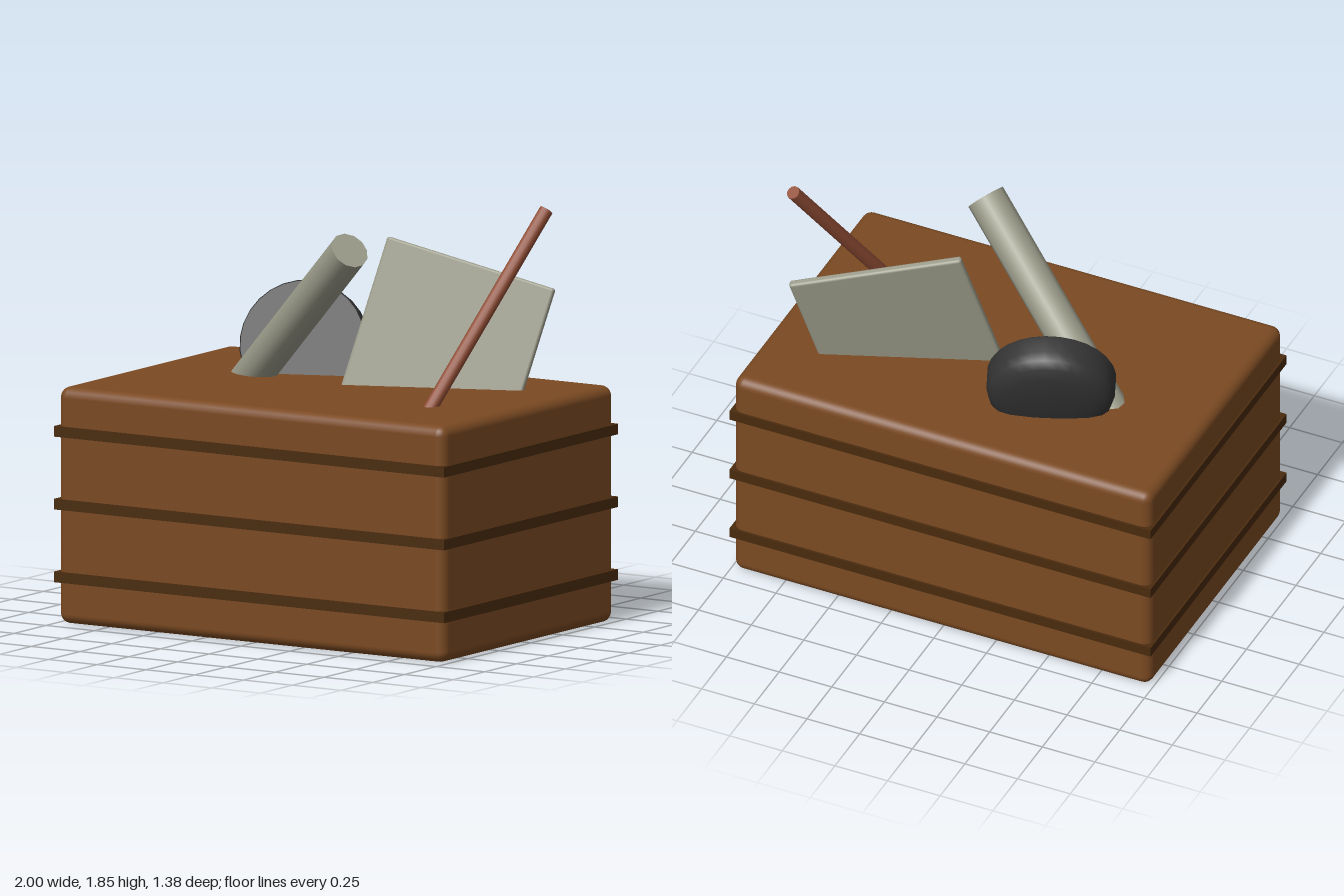
import * as THREE from 'three';
import { RoundedBoxGeometry } from 'three/addons/geometries/RoundedBoxGeometry.js';

const V = (x, y, z) => new THREE.Vector3(x, y, z);
const UP = V(0, 1, 0);

function material(name, color) {
  const m = new THREE.MeshStandardMaterial({ color });
  m.name = name;
  return m;
}

export function createModel() {
  const group = new THREE.Group();
  const wood = material('brown wood', 0x7b4a22);
  const bandWood = material('dark wood', 0x4a2b0e);
  const metal = material('grey metal', 0x9c9c8b);
  const black = material('black rubber', 0x343434);
  const rust = material('red brown wood', 0x924e36);

  const add = (name, geometry, mat) => {
    const mesh = new THREE.Mesh(geometry, mat);
    mesh.name = name;
    group.add(mesh);
    return mesh;
  };

  // Round bar between two points
  const bar = (name, from, to, radius, sides, mat) => {
    const axis = to.clone().sub(from);
    const mesh = add(name, new THREE.CylinderGeometry(radius, radius, axis.length(), sides), mat);
    mesh.position.copy(from).add(to).multiplyScalar(0.5);
    mesh.quaternion.setFromUnitVectors(UP, axis.normalize());
    return mesh;
  };

  // Crate and its three surrounding bands
  add('crate', new RoundedBoxGeometry(1.98, 1.03, 1.355, 3, 0.045), wood).position.y = 0.515;
  [0.203, 0.52, 0.837].forEach((y, i) => {
    add('band' + (i + 1), new THREE.BoxGeometry(2, 0.046, 1.375), bandWood).position.y = y;
  });

  // Leaning bars
  bar('thinStick', V(0.582, 0.83, 0.368), V(0.87, 1.83, -0.32), 0.03, 12, rust);
  bar('thickPipe', V(-0.59, 0.93, -0.147), V(0.2, 1.665, 0.2), 0.086, 12, metal);

  // Tilted flat plate, partly sunk into the crate
  const across = V(0.705, -0.2, -0.235).normalize();
  const normal = across.clone().cross(V(0.135, 0.63, -0.19)).normalize();
  const upward = normal.clone().cross(across);
  const plate = add('plate', new RoundedBoxGeometry(0.77, 0.9, 0.036, 2, 0.012), metal);
  plate.quaternion.setFromRotationMatrix(new THREE.Matrix4().makeBasis(across, upward, normal));
  plate.position.set(0.467, 1.56, -0.352).addScaledVector(upward, -0.45);

  // Thick disc leaning back: flat front, straight rim, softly domed back
  const profile = [[0, 0], [0.272, 0], [0.272, 0], [0.278, 0.01], [0.278, 0.085],
    [0.268, 0.125], [0.24, 0.155], [0.19, 0.175], [0.1, 0.188], [0, 0.19]];
  const disc = add('roundHead',
    new THREE.LatheGeometry(profile.map(([r, y]) => new THREE.Vector2(r, y)), 28), black);
  disc.position.set(-0.305, 1.16, -0.205);
  disc.quaternion.setFromUnitVectors(UP, V(-0.35, -0.31, -0.885).normalize());

  return group;
}
